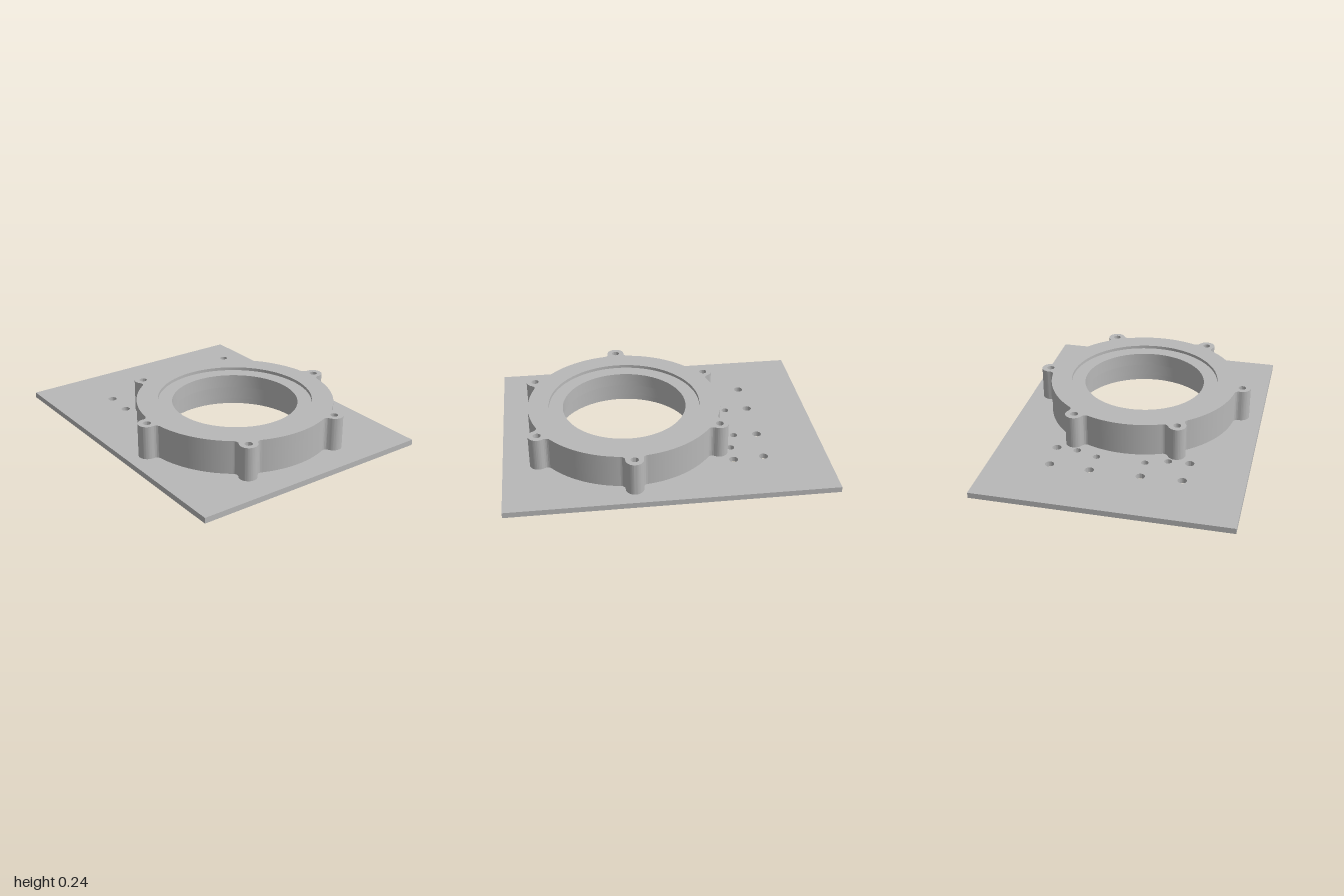
import * as THREE from 'three';
import { toCreasedNormals } from 'three/addons/utils/BufferGeometryUtils.js';

const CX = 0.22;            // ring axis position along x
const PLATE_TOP = 0.035;
const RING_TOP = 0.245;
const BORE = 0.441, LIP = 0.39, RECESS = 0.478;
const LUG_DIST = 0.645, LUG_HOLE = 0.024;
const lugAngles = Array.from({ length: 6 }, (_, i) => Math.PI / 6 + i * Math.PI / 3);

function circle(x, y, r) {
  return new THREE.Path().absarc(x, y, r, 0, Math.PI * 2, true);
}

// Extrude a plan outline upward from y0 to y1
function slab(shape, y0, y1, segments) {
  const geo = new THREE.ExtrudeGeometry(shape, { depth: y1 - y0, bevelEnabled: false, curveSegments: segments });
  geo.rotateX(-Math.PI / 2).translate(0, y0, 0);
  return toCreasedNormals(geo, 0.6);
}

function lugHoles(cx) {
  return lugAngles.map(a => circle(cx + LUG_DIST * Math.cos(a), LUG_DIST * Math.sin(a), LUG_HOLE));
}

// Round flange with six rounded lugs, each blended in by two fillets
function ringOutline() {
  const R = 0.61, w = 0.055, f = 0.03;
  const side = w + f;
  const along = Math.sqrt((R + f) ** 2 - side ** 2);
  const spread = Math.atan2(side, along);
  const s = new THREE.Shape();
  for (const a of lugAngles) {
    const at = (u, v) => [u * Math.cos(a) - v * Math.sin(a), u * Math.sin(a) + v * Math.cos(a)];
    s.absarc(0, 0, R, a - Math.PI / 3 + spread, a - spread, false);
    s.absarc(...at(along, -side), f, a - spread + Math.PI, a + Math.PI / 2, true);
    s.absarc(...at(LUG_DIST, 0), w, a - Math.PI / 2, a + Math.PI / 2, false);
    s.absarc(...at(along, side), f, a - Math.PI / 2, a + spread - Math.PI, true);
  }
  return s;
}

export function createModel() {
  const group = new THREE.Group();
  group.name = 'mountingPlateWithRing';
  const grey = new THREE.MeshStandardMaterial({ color: 0xb8b8b8 });
  grey.name = 'machinedGrey';

  function add(name, geo, x = 0) {
    const mesh = new THREE.Mesh(geo, grey);
    mesh.name = name;
    mesh.position.x = x;
    group.add(mesh);
  }

  // Base plate with the bore, lug holes and a mirrored pattern of small holes
  const plate = new THREE.Shape([[-1, -0.78], [1, -0.78], [1, 0.78], [-1, 0.78]]
    .map(p => new THREE.Vector2(...p)));
  plate.holes.push(circle(CX, 0, BORE), ...lugHoles(CX));
  const smallHoles = [
    [-0.605, 0.407, 0.028], [-0.415, 0.418, 0.028], [-0.42, 0.286, 0.024],
    [-0.615, 0.156, 0.028], [-0.465, 0.151, 0.023],
  ];
  for (const [x, z, r] of smallHoles) {
    for (const m of [-1, 1]) plate.holes.push(circle(x, m * z, r));
  }
  add('basePlate', slab(plate, 0, PLATE_TOP, 48));

  // Raised ring body with lugs
  const ring = ringOutline();
  ring.holes.push(circle(0, 0, RECESS), ...lugHoles(0));
  add('ringBody', slab(ring, PLATE_TOP, RING_TOP, 40), CX);

  // Stepped bore: shallow top recess, inner lip, wider lower bore
  const profile = [[RECESS, 0.225], [LIP, 0.225], [LIP, 0.14], [BORE, 0.14], [BORE, PLATE_TOP]]
    .map(p => new THREE.Vector2(...p));
  add('steppedBore', toCreasedNormals(new THREE.LatheGeometry(profile, 96), 0.6), CX);

  return group;
}
